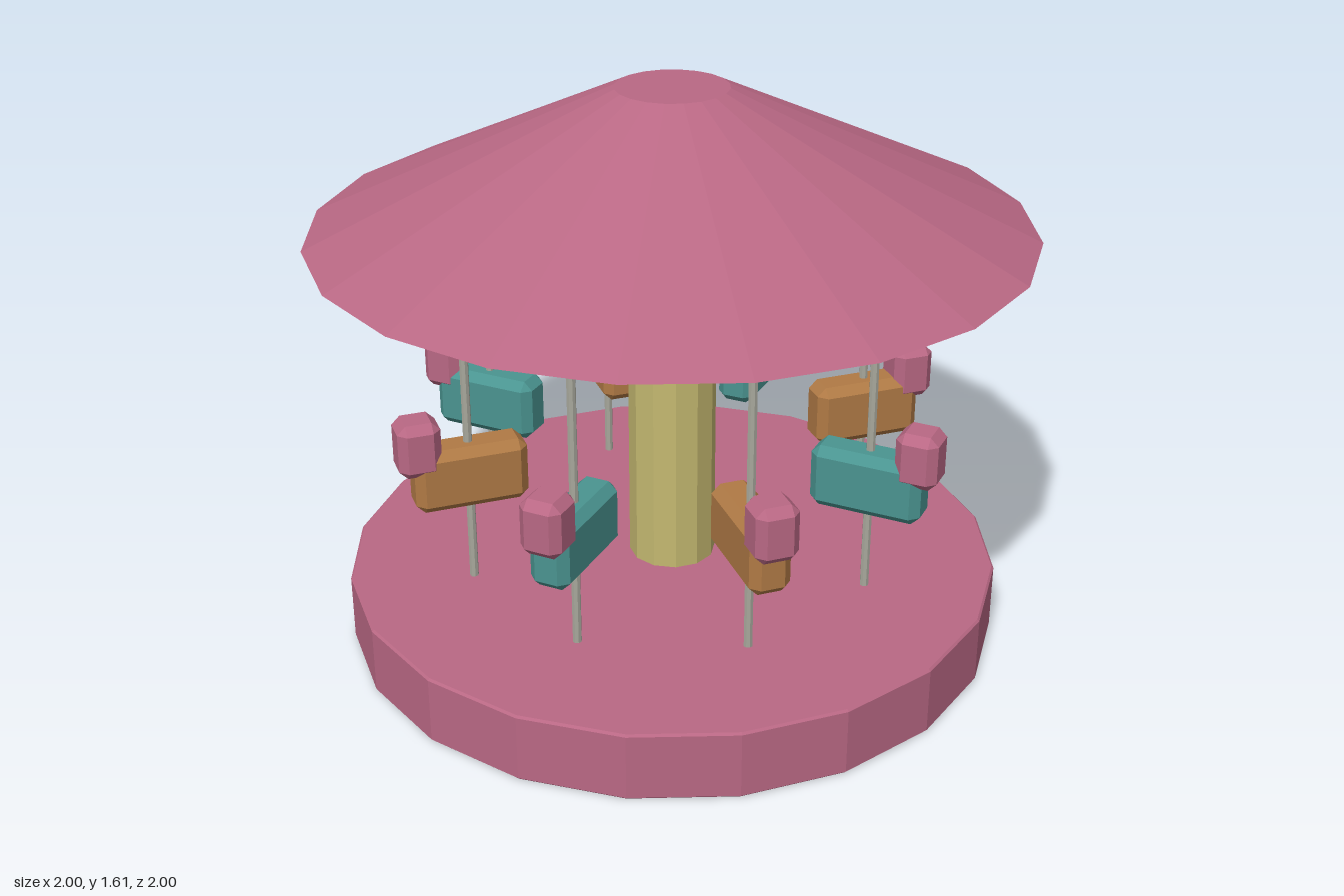
import * as THREE from 'three';
import { ConvexGeometry } from 'three/addons/geometries/ConvexGeometry.js';

const material = (name, color) => {
  const m = new THREE.MeshStandardMaterial({ color });
  m.name = name;
  return m;
};

// Splits shared vertices so every facet is flat
function faceted(geometry) {
  const g = geometry.toNonIndexed();
  g.computeVertexNormals();
  return g;
}

// Box with all twelve edges cut at 45 degrees
function chamferBox(w, h, d, c) {
  const points = [];
  for (const x of [-1, 1]) for (const y of [-1, 1]) for (const z of [-1, 1]) {
    const a = w / 2, b = h / 2, e = d / 2;
    points.push(
      new THREE.Vector3(x * a, y * (b - c), z * (e - c)),
      new THREE.Vector3(x * (a - c), y * b, z * (e - c)),
      new THREE.Vector3(x * (a - c), y * (b - c), z * e),
    );
  }
  return new ConvexGeometry(points);
}

function addMesh(parent, name, geometry, mat, x = 0, y = 0, z = 0) {
  const mesh = new THREE.Mesh(geometry, mat);
  mesh.name = name;
  mesh.position.set(x, y, z);
  parent.add(mesh);
  return mesh;
}

export function createModel() {
  const pink = material('rose pink', 0xb96884);
  const yellow = material('pale yellow', 0xc4b870);
  const teal = material('teal', 0x4a9490);
  const brown = material('brown', 0xb07a45);
  const grey = material('pole grey', 0xa8a89c);

  const model = new THREE.Group();
  model.name = 'carousel';

  // Platform with a fine bevel on both rims
  const rim = [[0, 0], [0.934, 0], [0.94, 0.006], [0.94, 0.194], [0.934, 0.2], [0, 0.2]]
    .map(([r, y]) => new THREE.Vector2(r, y));
  addMesh(model, 'platform', faceted(new THREE.LatheGeometry(rim, 20)), pink);

  // Centre column and roof
  addMesh(model, 'column', faceted(new THREE.CylinderGeometry(0.125, 0.125, 1.03, 12)), yellow, 0, 0.705);
  addMesh(model, 'roof', faceted(new THREE.CylinderGeometry(0.156, 1, 0.396, 20)), pink, 0, 1.407);

  // Eight mounts facing outwards, alternating in colour
  const pole = faceted(new THREE.CylinderGeometry(0.0125, 0.0125, 0.99, 8));
  const body = chamferBox(0.32, 0.185, 0.115, 0.025);
  const head = chamferBox(0.12, 0.16, 0.12, 0.024);
  for (let i = 0; i < 8; i++) {
    const mount = new THREE.Group();
    mount.name = 'mount' + (i + 1);
    mount.rotation.y = (i * Math.PI) / 4;
    addMesh(mount, 'pole', pole, grey, 0.6, 0.72);
    addMesh(mount, 'body', body, i % 2 ? brown : teal, 0.6, 0.5625);
    addMesh(mount, 'head', head, pink, 0.742, 0.666);
    model.add(mount);
  }
  return model;
}
